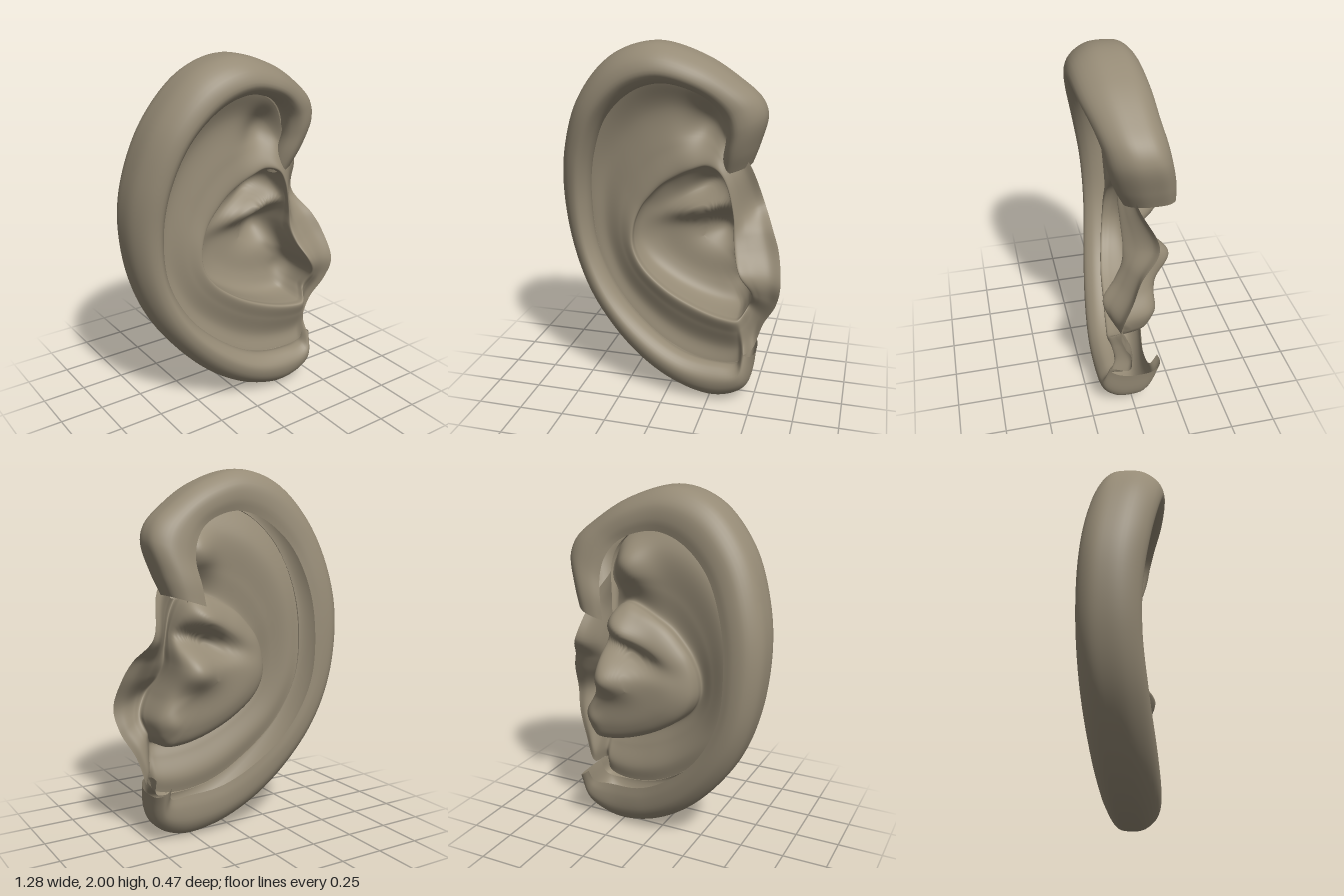
import * as THREE from 'three';

const skin = new THREE.MeshStandardMaterial({ color: 0x968b76, side: THREE.DoubleSide });
skin.name = 'skin';

const V = (x, y, z = 0) => new THREE.Vector3(x, y, z);
const spline = (points, closed = false) => new THREE.CatmullRomCurve3(points, closed, 'centripetal');

// Smooth grid surface: rowAt(u) returns a curve of v; optionally closed around u
function surface(name, nu, nv, closed, rowAt) {
  const pos = [], index = [], rows = closed ? nu : nu + 1;
  for (let i = 0; i < rows; i++) {
    const curve = rowAt(i / nu);
    for (let j = 0; j <= nv; j++) {
      const p = curve(j / nv);
      pos.push(p.x, p.y, p.z);
    }
  }
  for (let i = 0; i < nu; i++) {
    for (let j = 0; j < nv; j++) {
      const a = i * (nv + 1) + j, b = ((i + 1) % rows) * (nv + 1) + j;
      index.push(a, a + 1, b, b, a + 1, b + 1);
    }
  }
  const g = new THREE.BufferGeometry();
  g.setAttribute('position', new THREE.Float32BufferAttribute(pos, 3));
  g.setIndex(index);
  g.computeVertexNormals();
  const mesh = new THREE.Mesh(g, skin);
  mesh.name = name;
  return mesh;
}

// Outer rim stations: outer x, y, inner x, y, front z, back z
const RIM = [
  [0.43, 1.35, 0.27, 1.30, 0.04, -0.23],
  [0.47, 1.46, 0.29, 1.41, 0.09, -0.22],
  [0.51, 1.62, 0.31, 1.53, 0.13, -0.19],
  [0.48, 1.71, 0.29, 1.63, 0.15, -0.17],
  [0.37, 1.81, 0.23, 1.71, 0.18, -0.15],
  [0.18, 1.93, 0.13, 1.77, 0.22, -0.14],
  [-0.07, 2.0, -0.02, 1.80, 0.24, -0.13],
  [-0.30, 1.93, -0.18, 1.75, 0.23, -0.14],
  [-0.50, 1.71, -0.34, 1.60, 0.20, -0.17],
  [-0.61, 1.42, -0.44, 1.36, 0.15, -0.21],
  [-0.64, 1.15, -0.47, 1.10, 0.11, -0.23],
  [-0.59, 0.80, -0.44, 0.82, 0.10, -0.23],
  [-0.46, 0.50, -0.31, 0.56, 0.13, -0.21],
  [-0.20, 0.20, -0.10, 0.36, 0.17, -0.17],
  [0.07, 0.04, 0.10, 0.25, 0.19, -0.13],
  [0.30, 0.00, 0.30, 0.22, 0.19, -0.10],
  [0.46, 0.08, 0.41, 0.23, 0.18, -0.11],
  [0.50, 0.27, 0.43, 0.32, 0.14, -0.15],
];

// Rim cross-section: across (0 inner, 1 outer) and depth (-1 back, 1 front)
const RIM_SECTION = spline([
  V(0.04, 0.2), V(-0.01, 0.45), V(0.05, 0.74), V(0.3, 1), V(0.65, 0.88), V(0.95, 0.4),
  V(1, -0.15), V(0.93, -0.6), V(0.6, -0.94), V(0.2, -1), V(-0.12, -0.93),
]);

function rim() {
  const outer = spline(RIM.map(r => V(r[0], r[1], r[4])));
  const inner = spline(RIM.map(r => V(r[2], r[3], r[5])));
  return surface('outerRim', 120, 40, false, u => {
    const o = outer.getPoint(u), f = inner.getPoint(u);
    return v => {
      const s = RIM_SECTION.getPoint(v);
      return V(f.x + (o.x - f.x) * s.x, f.y + (o.y - f.y) * s.x,
        (o.z + f.z) / 2 + s.y * (o.z - f.z) / 2);
    };
  });
}

// Inner sheet: its border, and the matching crest round the bowl
const BORDER = [
  [0.43, 1.36, -0.01], [0.33, 1.51, 0.02], [0.25, 1.69, 0.04], [0.12, 1.775, 0.07],
  [-0.04, 1.80, 0.09], [-0.20, 1.745, 0.08], [-0.345, 1.60, 0.05], [-0.45, 1.36, 0.01],
  [-0.475, 1.10, -0.02], [-0.445, 0.82, -0.03], [-0.32, 0.555, 0.0], [-0.10, 0.35, 0.04],
  [0.10, 0.245, 0.06], [0.30, 0.215, 0.08], [0.41, 0.24, 0.10], [0.45, 0.30, 0.13],
  [0.485, 0.30, 0.04], [0.54, 0.46, 0.04], [0.61, 0.60, 0.09], [0.635, 0.73, 0.12],
  [0.61, 0.90, 0.05], [0.57, 1.00, 0.0], [0.50, 1.13, -0.11],
];
const CREST = [
  [0.32, 1.25, 0.06], [0.27, 1.33, 0.06], [0.20, 1.35, 0.04], [0.11, 1.32, 0.03],
  [0.03, 1.28, 0.02], [-0.05, 1.23, 0.02], [-0.12, 1.16, 0.02], [-0.18, 1.08, 0.02],
  [-0.22, 0.97, 0.03], [-0.22, 0.85, 0.04], [-0.16, 0.74, 0.06], [-0.02, 0.63, 0.09],
  [0.15, 0.55, 0.11], [0.30, 0.51, 0.13], [0.40, 0.505, 0.14], [0.42, 0.515, 0.13],
  [0.44, 0.54, 0.10], [0.46, 0.58, 0.07], [0.48, 0.67, 0.12], [0.42, 0.79, 0.17],
  [0.38, 0.89, 0.10], [0.365, 0.97, 0.06], [0.36, 1.07, 0.05],
];

// Soft dents and swellings: centre x, y, radii along and across, tilt, height
const BOWL_SWELLS = [
  [0.2, 1.09, 0.22, 0.06, 0.3, 0.1],      // ridge running into the bowl
  [0.3, 0.94, 0.16, 0.1, 0.2, -0.1],      // canal
  [0.2, 1.22, 0.12, 0.06, 0.5, -0.05],    // upper bowl
  [0.4, 0.66, 0.06, 0.06, 0, -0.02],      // pit below the front flap
];
const SHEET_SWELLS = [[0.2, 1.59, 0.15, 0.11, 1.0, -0.1]];  // upper hollow

const swell = (list, x, y) => list.reduce((sum, [cx, cy, a, b, tilt, h]) => {
  const c = Math.cos(tilt), s = Math.sin(tilt), dx = x - cx, dy = y - cy;
  const p = (dx * c + dy * s) / a, q = (dy * c - dx * s) / b;
  return sum + h * Math.exp(-p * p - q * q);
}, 0);

function innerSheet() {
  const border = spline(BORDER.map(p => V(...p)), true);
  const crest = spline(CREST.map(p => V(...p)), true);
  const centre = V(0.15, 0.88, -0.13);
  return surface('innerEar', 184, 70, true, u => {
    const e = border.getPoint(u), c = crest.getPoint(u);
    const dip = e.distanceTo(c);
    const between = (t, dz) => e.clone().lerp(c, t).add(V(0, 0, dz));
    const inside = (t, z) => { const p = c.clone().lerp(centre, t); p.z = z; return p; };
    const profile = spline([
      e, between(0.3, -0.1 * dip), between(0.7, -0.04 * dip), c,
      inside(0.01, c.z - 0.05), inside(0.08, -0.07), inside(0.35, -0.12), centre,
    ]);
    return v => {
      const p = profile.getPoint(v);
      const bowl = THREE.MathUtils.smoothstep(v, 3 / 7, 5.5 / 7);
      p.z += swell(SHEET_SWELLS, p.x, p.y) * Math.min(1, v * 4)
        + swell(BOWL_SWELLS, p.x, p.y) * bowl;
      return p;
    };
  });
}

export function createModel() {
  const ear = new THREE.Group();
  ear.name = 'ear';
  ear.add(rim(), innerSheet());
  return ear;
}
